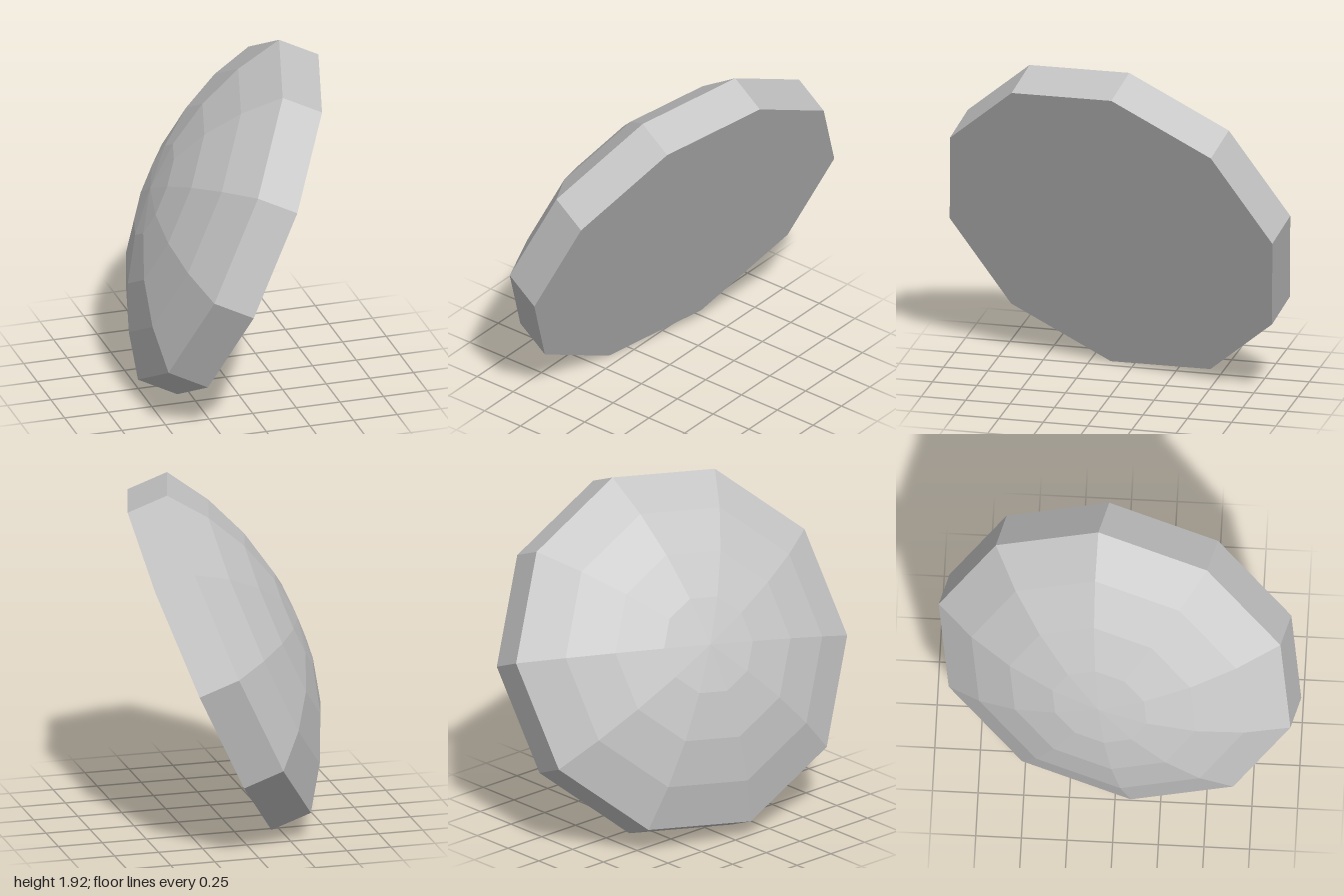
import * as THREE from 'three';

const SIDES = 10;
const RADIUS = 1.02;       // rim corner radius
const THICKNESS = 0.236;   // straight rim
const DOME_HEIGHT = 0.35;
const DOME_RINGS = 4;

export function createModel() {
  const grey = new THREE.MeshStandardMaterial({ color: 0xc4c4c4, flatShading: true });
  grey.name = 'light grey';

  const group = new THREE.Group();
  group.name = 'tiltedDome';

  const addLathe = (name, points) => {
    const mesh = new THREE.Mesh(new THREE.LatheGeometry(points, SIDES), grey);
    mesh.name = name;
    group.add(mesh);
  };
  const p = (r, y) => new THREE.Vector2(r, y);

  // Flat ten-sided face and its straight rim
  addLathe('flatFace', [p(0, 0), p(RADIUS, 0)]);
  addLathe('rim', [p(RADIUS, 0), p(RADIUS, THICKNESS)]);

  // Shallow spherical cap, in rings of equal angle
  const sphere = (RADIUS ** 2 + DOME_HEIGHT ** 2) / (2 * DOME_HEIGHT);
  const maxAngle = Math.asin(RADIUS / sphere);
  const profile = [];
  for (let i = DOME_RINGS; i >= 0; i--) {
    const a = (maxAngle * i) / DOME_RINGS;
    profile.push(p(sphere * Math.sin(a),
      THICKNESS + sphere * (Math.cos(a) - Math.cos(maxAngle))));
  }
  addLathe('dome', profile);

  // Tilt: the dome axis points to the right and up, one corner sets the roll
  const axis = new THREE.Vector3(-0.8915, 0.4035, -0.2063).normalize();
  const corner = new THREE.Vector3(0.275, 0.852, 0.495).projectOnPlane(axis).normalize();
  const side = new THREE.Vector3().crossVectors(axis, corner);
  group.quaternion.setFromRotationMatrix(new THREE.Matrix4().makeBasis(side, axis, corner));
  group.position.set(0.121, 0.914, 0.025);

  const model = new THREE.Group();
  model.name = 'model';
  model.add(group);
  return model;
}
